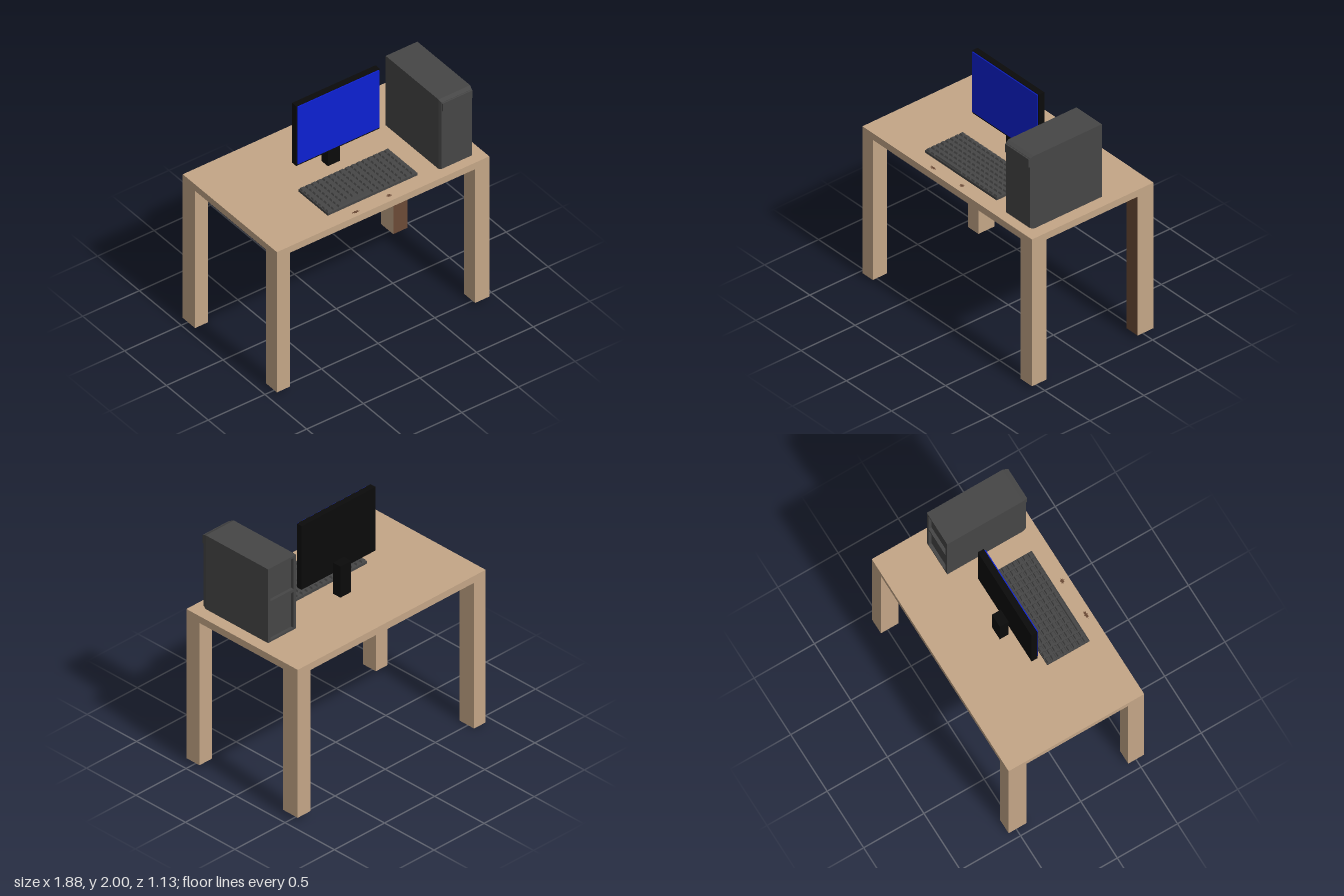
import * as THREE from 'three';
import { mergeGeometries } from 'three/addons/utils/BufferGeometryUtils.js';

const mat = (name, color) => {
  const m = new THREE.MeshStandardMaterial({ color });
  m.name = name;
  return m;
};

// Box geometry from min/max corners
function span(x0, x1, y0, y1, z0, z1) {
  return new THREE.BoxGeometry(x1 - x0, y1 - y0, z1 - z0)
    .translate((x0 + x1) / 2, (y0 + y1) / 2, (z0 + z1) / 2);
}

// Box whose face on one axis side is narrowed by insets on the other two axes
function taper(geo, axis, insets) {
  geo.computeBoundingBox();
  const { min, max } = geo.boundingBox;
  const c = min.clone().add(max).multiplyScalar(0.5);
  const p = geo.attributes.position;
  for (let i = 0; i < p.count; i++) {
    const v = new THREE.Vector3().fromBufferAttribute(p, i);
    if (v[axis] < c[axis]) continue;
    for (const k in insets) v[k] -= Math.sign(v[k] - c[k]) * insets[k];
    p.setXYZ(i, v.x, v.y, v.z);
  }
  const flat = geo.toNonIndexed();
  flat.computeVertexNormals();
  return flat;
}

const rectPoints = (x0, x1, y0, y1) => [
  new THREE.Vector2(x0, y0), new THREE.Vector2(x1, y0),
  new THREE.Vector2(x1, y1), new THREE.Vector2(x0, y1),
];

export function createModel() {
  const wood = mat('wood', 0xc4a687);
  const darkWood = mat('dark wood', 0x6b4a36);
  const grey = mat('dark grey plastic', 0x464646);
  const black = mat('black plastic', 0x0b0b0b);
  const blue = mat('blue screen', 0x0c20d2);

  const model = new THREE.Group();
  model.name = 'computerDesk';
  const group = (name) => {
    const g = new THREE.Group();
    g.name = name;
    model.add(g);
    return g;
  };
  const add = (parent, name, geo, material) => {
    const m = new THREE.Mesh(geo, material);
    m.name = name;
    parent.add(m);
  };

  // Desk: top and four slightly uneven legs, one with a dark inner face
  const desk = group('desk');
  add(desk, 'deskTop', span(-0.94, 0.935, 1.23, 1.288, -0.563, 0.563), wood);
  add(desk, 'frontLeftLeg', span(0.81, 0.935, 0.03, 1.231, 0.43, 0.563), wood);
  add(desk, 'frontRightLeg', span(-0.94, -0.825, 0.03, 1.231, 0.43, 0.563), wood);
  add(desk, 'backRightLeg', span(-0.94, -0.825, 0, 1.231, -0.563, -0.415), wood);
  add(desk, 'backLeftLeg', span(0.81, 0.935, 0.04, 1.231, -0.563, -0.415),
    [wood, wood, wood, wood, darkWood, wood]);

  // Small ragged stains near the front edge
  [[-0.213, 0.52, 0.036, 0.016], [0.092, 0.507, 0.025, 0.018]].forEach(([x, z, rx, rz]) => {
    const pts = [];
    for (let i = 0; i < 16; i++) {
      const a = (i / 16) * Math.PI * 2, r = i % 2 ? 0.55 : 1;
      pts.push(new THREE.Vector2(Math.cos(a) * rx * r, Math.sin(a) * rz * r));
    }
    const geo = new THREE.ShapeGeometry(new THREE.Shape(pts));
    add(desk, 'stain', geo.rotateX(-Math.PI / 2).translate(x, 1.29, z), darkWood);
  });

  // Monitor: casing, screen and stand
  const monitor = group('monitor');
  add(monitor, 'casing', span(-0.37, 0.367, 1.463, 2, -0.027, 0.022), black);
  add(monitor, 'screen', span(-0.362, 0.358, 1.48, 1.993, 0.022, 0.031), blue);
  add(monitor, 'stand', span(-0.055, 0.052, 1.288, 1.55, -0.1, -0.026), black);

  // Keyboard: base and a grid of tapered keys with a long space bar
  const keyboard = group('keyboard');
  const x0 = -0.398, x1 = 0.394, z0 = 0.087, z1 = 0.437, cols = 16, rows = 8;
  add(keyboard, 'keyboardBase', span(x0, x1, 1.288, 1.309, z0, z1), grey);
  const dx = (x1 - x0) / cols, dz = (z1 - z0) / rows;
  const keys = [];
  const key = (c, r, width) => keys.push(taper(
    span(x0 + c * dx + 0.004, x0 + (c + width) * dx - 0.004, 1.308, 1.323,
      z0 + r * dz + 0.004, z0 + (r + 1) * dz - 0.004), 'y', { x: 0.006, z: 0.006 }));
  for (let r = 0; r < rows; r++) {
    for (let c = 0; c < cols; c++) {
      const space = r === rows - 1 && c === 2;
      key(c, r, space ? 6 : 1);
      if (space) c += 5;
    }
  }
  add(keyboard, 'keys', mergeGeometries(keys), grey);

  // Computer tower: body, bevelled front, drive door and recessed back
  const tower = group('tower');
  const l = 0.558, r = 0.838, b = 1.288, t = 1.91;
  add(tower, 'towerBody', span(l, r, b, t, -0.14, 0.465), grey);
  add(tower, 'towerFront', taper(span(l, r, b, t, 0.465, 0.495), 'z', { x: 0.007, y: 0.014 }), grey);
  add(tower, 'driveDoor', taper(span(l + 0.006, r - 0.006, 1.82, 1.895, 0.48, 0.505), 'z',
    { x: 0.003, y: 0.003 }), grey);
  const frame = new THREE.Shape(rectPoints(l, r, b, t));
  frame.holes.push(
    new THREE.Path(rectPoints(l + 0.025, r - 0.025, 1.63, t - 0.02).reverse()),
    new THREE.Path(rectPoints(l + 0.025, r - 0.025, b + 0.015, 1.605).reverse()));
  add(tower, 'backFrame', new THREE.ExtrudeGeometry(frame, { depth: 0.025, bevelEnabled: false })
    .translate(0, 0, -0.165), grey);

  return model;
}
